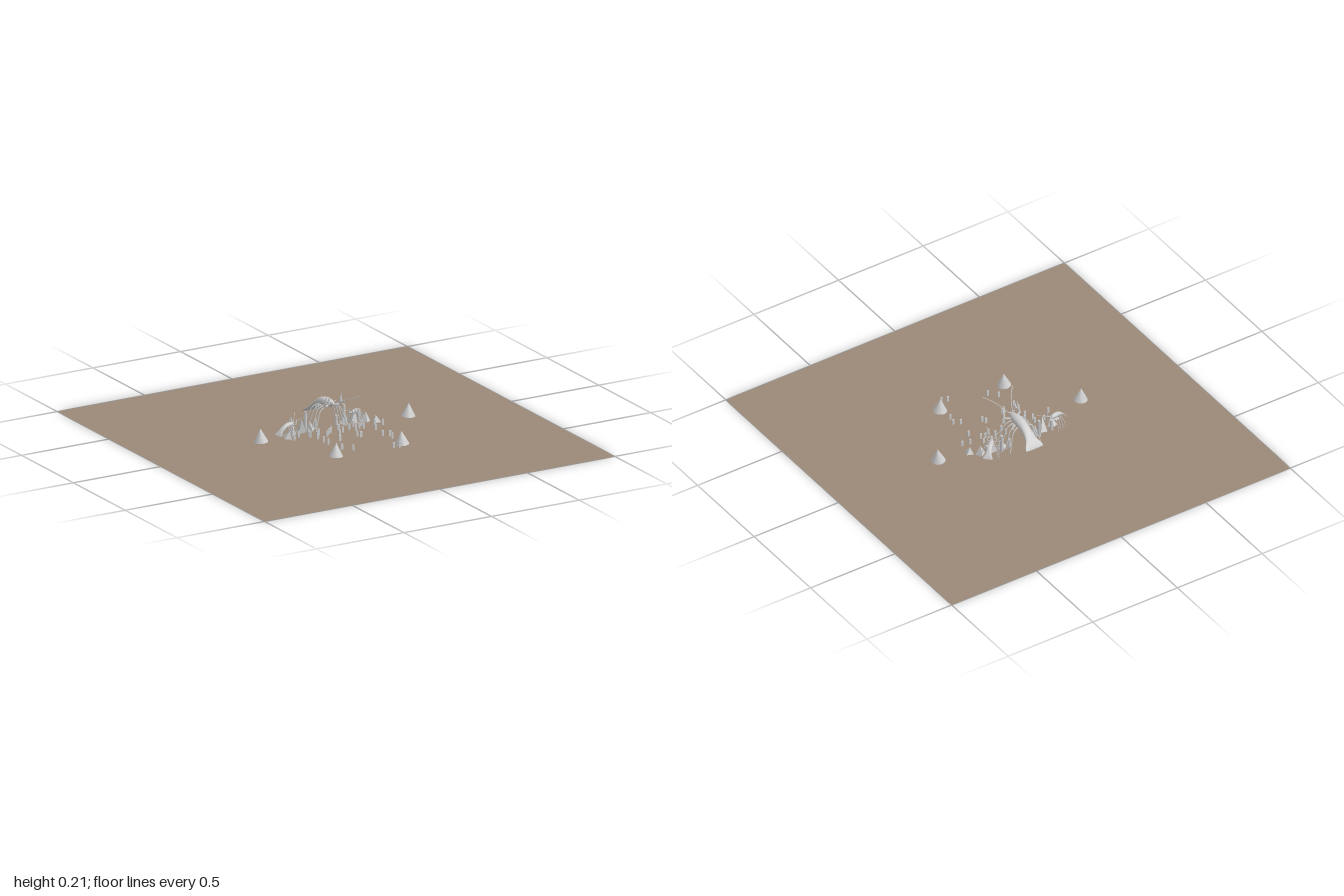
import * as THREE from 'three';

const grey = new THREE.MeshStandardMaterial({ color: 0xcccccc, side: THREE.DoubleSide });
const flat = new THREE.MeshStandardMaterial({ color: 0xcccccc, side: THREE.DoubleSide, flatShading: true });
const sand = new THREE.MeshStandardMaterial({ color: 0x9a8876, side: THREE.DoubleSide });

function add(parent, name, geo, mat, x = 0, y = 0, z = 0) {
  const m = new THREE.Mesh(geo, mat);
  m.name = name;
  m.position.set(x, y, z);
  parent.add(m);
  return m;
}

function tube(parent, name, pts, r, seg = 10) {
  const curve = new THREE.CatmullRomCurve3(pts.map(p => new THREE.Vector3(...p)));
  return add(parent, name, new THREE.TubeGeometry(curve, seg, r, 6), grey);
}

// Skins elliptical cross-sections [z, y, half width, half height]
function loft(sections, sides = 16) {
  const pos = [], idx = [];
  sections.forEach(([z, y, w, h], i) => {
    for (let j = 0; j < sides; j++) {
      const a = (j / sides) * Math.PI * 2;
      pos.push(Math.cos(a) * w, y + Math.sin(a) * h, z);
      if (i) {
        const k = (j + 1) % sides, p = (i - 1) * sides, q = i * sides;
        idx.push(p + j, p + k, q + j, p + k, q + k, q + j);
      }
    }
  });
  const g = new THREE.BufferGeometry();
  g.setAttribute('position', new THREE.Float32BufferAttribute(pos, 3));
  g.setIndex(idx);
  g.computeVertexNormals();
  return g;
}

// Long-tailed crustacean, head towards +z
function crustacean(name) {
  const g = new THREE.Group();
  g.name = name;
  add(g, 'body', loft([
    [-0.02, 0.147, 0.001, 0.001], [-0.035, 0.145, 0.013, 0.011], [-0.06, 0.142, 0.023, 0.02],
    [-0.09, 0.142, 0.027, 0.023], [-0.12, 0.14, 0.026, 0.021], [-0.15, 0.131, 0.024, 0.019],
    [-0.18, 0.115, 0.025, 0.015], [-0.205, 0.094, 0.031, 0.01], [-0.22, 0.079, 0.043, 0.007],
    [-0.234, 0.066, 0.052, 0.004], [-0.238, 0.06, 0.047, 0.001]]), grey);
  for (const s of [-1, 1]) {
    tube(g, 'antenna', [[s * 0.008, 0.148, -0.03], [s * 0.03, 0.17, 0.015], [s * 0.055, 0.188, 0.055], [s * 0.087, 0.205, 0.09]], 0.002);
    tube(g, 'clawArm', [[s * 0.018, 0.135, -0.05], [s * 0.045, 0.14, -0.035], [s * 0.04, 0.163, -0.025]], 0.006);
    // Two pincers on each claw
    for (const [x, z, r] of [[0.032, -0.012, 0.008], [0.043, -0.022, 0.006]]) {
      const c = add(g, 'pincer', new THREE.ConeGeometry(r, 0.045, 8), grey, s * x, 0.18, z);
      c.rotation.set(0.2, 0, s * 0.12);
    }
    add(g, 'eye', new THREE.SphereGeometry(0.005, 8, 6), grey, s * 0.012, 0.158, -0.034);
    // Walking legs
    for (let i = 0; i < 4; i++) {
      const z = -0.06 - i * 0.02, spread = (i - 1) * -0.012;
      tube(g, 'leg', [[s * 0.018, 0.13, z], [s * 0.055, 0.115, z + spread * 0.5], [s * 0.075, 0.065, z + spread], [s * 0.09, 0.015, z + spread * 1.5]], 0.003, 8);
    }
    // Paddles under the abdomen
    for (let i = 0; i < 3; i++) {
      const p = add(g, 'paddle', new THREE.ConeGeometry(0.005, 0.03, 6), grey, s * 0.012, 0.108 - i * 0.009, -0.13 - i * 0.02);
      p.rotation.x = Math.PI - 0.4;
    }
  }
  return g;
}

export function createModel() {
  const model = new THREE.Group();
  model.name = 'seabedScene';
  const ground = add(model, 'ground', new THREE.PlaneGeometry(2, 2), sand);
  ground.rotation.x = -Math.PI / 2;

  // One large animal and two small ones beside it
  model.add(crustacean('largeCrustacean'));
  for (const [x, z, turn] of [[-0.185, -0.085, 1.85], [0.13, -0.06, -0.8]]) {
    const c = crustacean('smallCrustacean');
    c.scale.setScalar(0.5);
    c.position.set(x, -0.005, z);
    c.rotation.y = turn;
    model.add(c);
  }

  // Outlying cones, slightly tilted
  for (const [x, y, z, tilt] of [[-0.43, 0.067, 0, 0.06], [0.42, 0.055, -0.01, -0.06], [-0.195, 0.047, 0.33, -0.04], [0.18, 0.047, 0.33, 0.06]]) {
    const c = add(model, 'cone', new THREE.ConeGeometry(0.036, 0.068, 16), grey, x, y, z);
    c.rotation.z = tilt;
  }

  // Pointed rocks in an arc on both sides
  const rocks = [[0.1, -0.085, 0.05], [0.15, -0.08, 0.075], [0.21, -0.07, 0.05], [0.25, -0.035, 0.035]];
  for (const s of [-1, 1]) {
    rocks.forEach(([x, z, h], i) => {
      const r = add(model, 'rock', new THREE.ConeGeometry(0.026, h, 4), flat, s * x, 0.012 + h / 2, z);
      r.rotation.set(0.15, i * 0.7, s * -0.2);
    });
    // Upright pillars
    for (const [x, z, h] of [[0.11, -0.11, 0.095], [0.06, -0.1, 0.05], [0.19, -0.1, 0.06]]) {
      add(model, 'pillar', new THREE.CylinderGeometry(0.007, 0.009, h, 8), grey, s * x, 0.01 + h / 2, z);
    }
  }

  // Small blades standing on the sand
  const blades = [
    [-0.16, 0.02], [-0.15, -0.01], [-0.12, 0.03], [-0.1, 0], [-0.08, 0.05], [-0.05, 0.02], [-0.02, 0.07],
    [0.02, 0.03], [0.05, 0.12], [0.07, 0.01], [0.09, 0.04], [0.12, 0.02], [0.15, -0.01], [0.18, 0.08],
    [0.21, 0.02], [0.25, 0.03], [-0.25, 0.02], [-0.2, -0.02], [-0.14, 0.12], [-0.14, 0.16], [-0.06, 0.14],
    [0.06, 0.14], [0.16, 0.18], [0.19, 0.2], [0.18, 0.24], [-0.12, 0.26], [-0.08, 0.3], [0.11, 0.37],
    [0.14, 0.38], [0.02, -0.01], [-0.03, 0], [0.11, -0.02], [-0.14, 0.06], [0.14, 0.03]];
  const bladeGeo = new THREE.BoxGeometry(0.012, 0.03, 0.005);
  for (const [x, z] of blades) add(model, 'blade', bladeGeo, flat, x, 0.029, z);

  return model;
}
